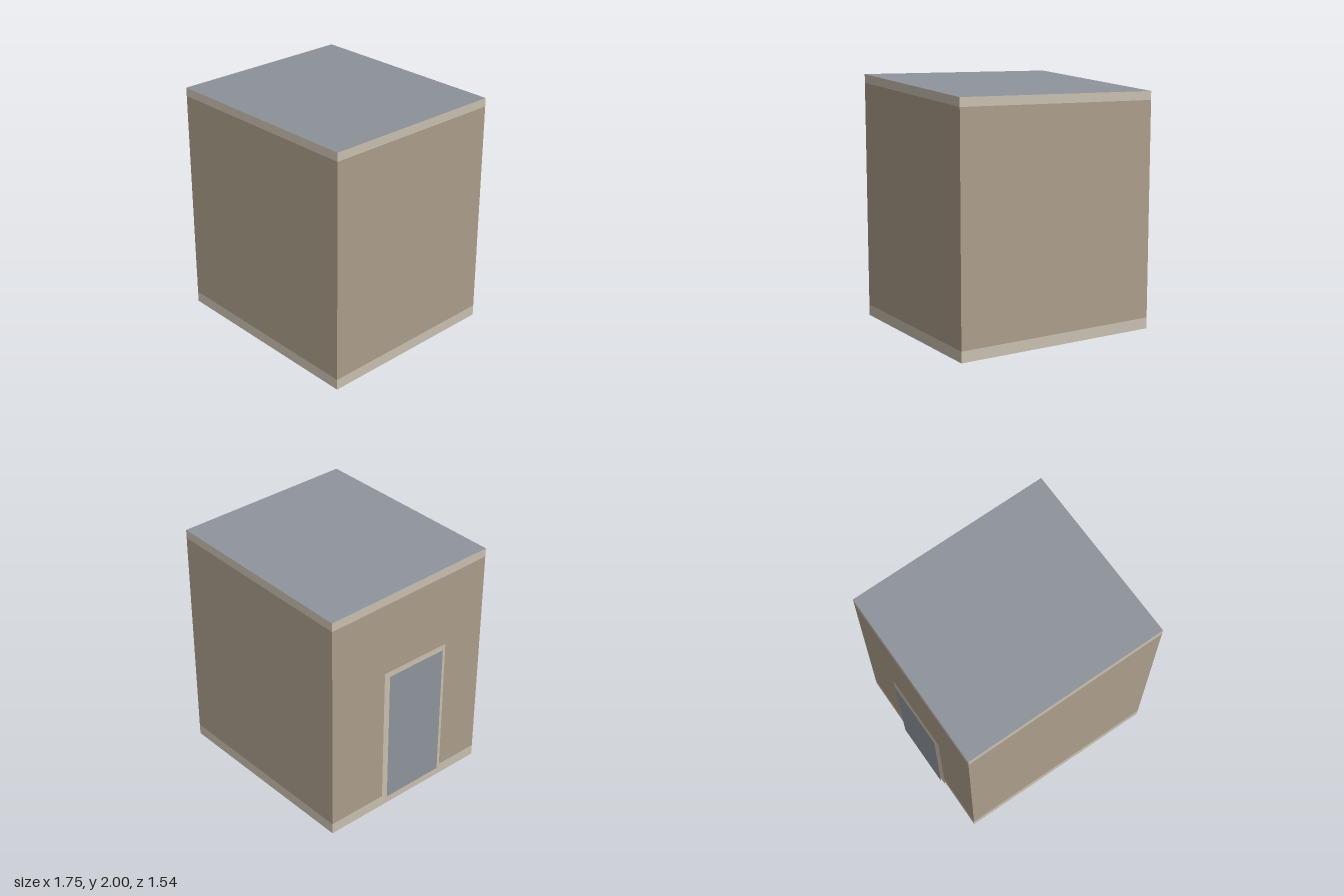
import * as THREE from 'three';

const material = (name, color, side = THREE.FrontSide) => {
  const m = new THREE.MeshStandardMaterial({ color, side });
  m.name = name;
  return m;
};

// Flat-shaded surface from a list of four-cornered faces (counter-clockwise).
function quads(faces) {
  const points = faces.flatMap(([a, b, c, d]) => [a, b, c, a, c, d]).flat();
  const geometry = new THREE.BufferGeometry();
  geometry.setAttribute('position', new THREE.Float32BufferAttribute(points, 3));
  geometry.computeVertexNormals();
  return geometry;
}

export function createModel() {
  const group = new THREE.Group();
  const wall = material('wall tan', 0xab9d8a, THREE.DoubleSide);
  const trim = material('trim cream', 0xc9bfb0, THREE.DoubleSide);
  const slate = material('slate grey', 0x8e939b, THREE.DoubleSide);

  const add = (name, geometry, mat) => {
    const mesh = new THREE.Mesh(geometry, mat);
    mesh.name = name;
    group.add(mesh);
    return mesh;
  };

  // Slightly skewed footprint: x, z and eave height of each corner
  const corners = [
    [-0.843, 0.767, 1.95],
    [0.871, 0.767, 2.0],
    [0.876, -0.77, 1.955],
    [-0.837, -0.763, 1.905],
  ];
  const plinthTop = 0.09, bandHeight = 0.07;
  const ring = (height) => corners.map(([x, z, eave]) => [x, height(eave), z]);
  const base = ring(() => 0);
  const plinth = ring(() => plinthTop);
  const wallTop = ring((eave) => eave - bandHeight);
  const eaves = ring((eave) => eave);

  // Band of four faces between two rings; the underside stays open
  const band = (low, high) => quads(low.map((p, i) => {
    const j = (i + 1) % 4;
    return [p, low[j], high[j], high[i]];
  }));

  add('plinth', band(base, plinth), trim);
  add('walls', band(plinth, wallTop), wall);
  add('eavesBand', band(wallTop, eaves), trim);
  add('roof', quads([eaves]), slate);

  // Door and its surround, standing just off the -x wall
  const upright = (x, z0, z1, y0, y1) =>
    [[x, y0, z0], [x, y0, z1], [x, y1, z1], [x, y1, z0]];
  add('doorSurround', quads([upright(-0.862, -0.27, 0.36, 0.09, 1.275)]), trim);
  add('door', quads([upright(-0.876, -0.23, 0.32, 0.1, 1.24)]), slate);

  return group;
}
